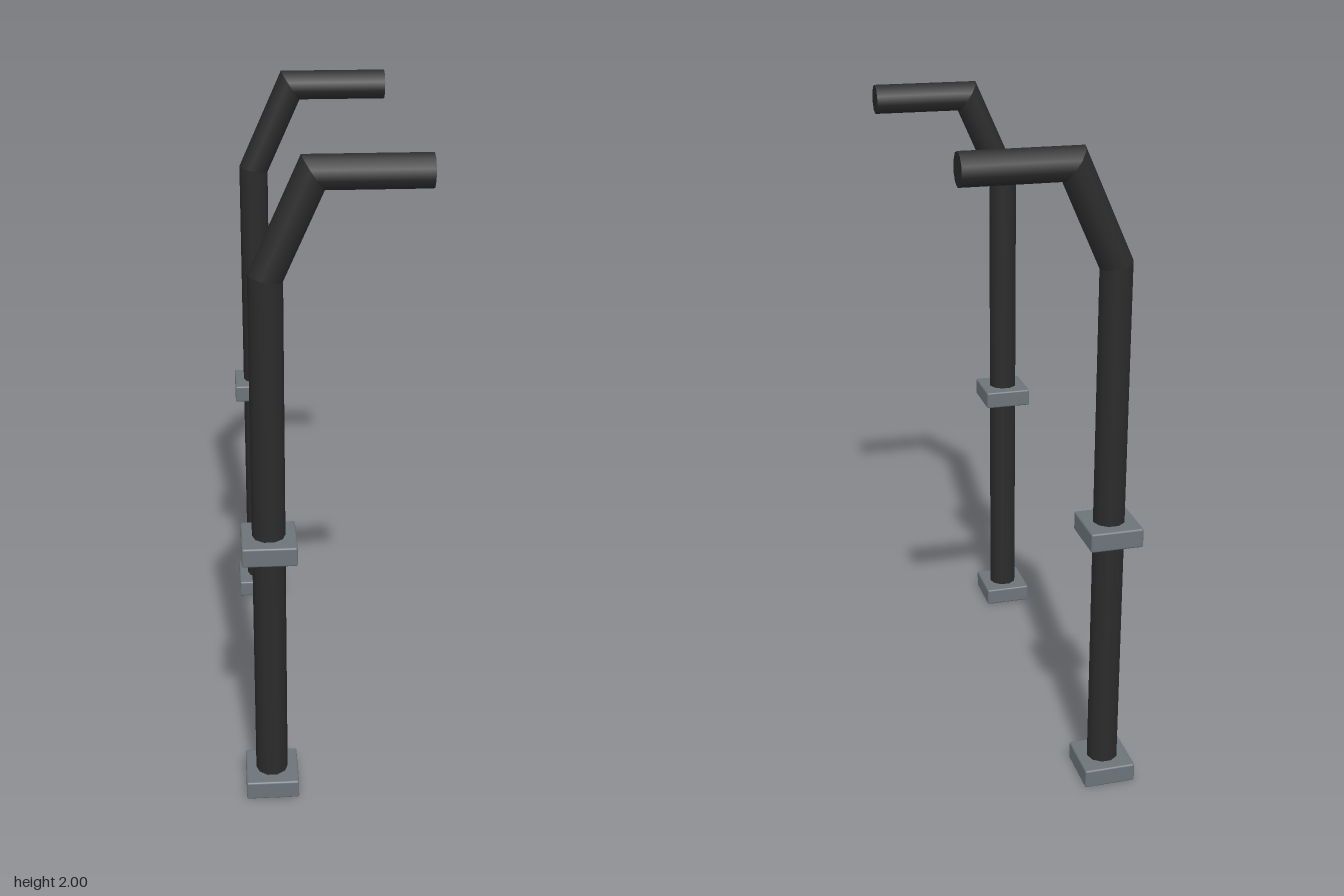
import * as THREE from 'three';
import { RoundedBoxGeometry } from 'three/addons/geometries/RoundedBoxGeometry.js';

const SIDES = 10, RADIUS = 0.049;

// Tube with mitred bends along a path in the xy plane
function mitredTube(points) {
  const pos = [], nor = [], idx = [];
  const dirs = points.slice(1).map((p, i) => p.clone().sub(points[i]).normalize());
  const sideOf = (d) => new THREE.Vector2(d.y, -d.x);
  // sideways vector of the cross-section at point i, lengthened at the bends
  const mitre = (i) => {
    const a = sideOf(dirs[Math.max(i - 1, 0)]);
    const b = sideOf(dirs[Math.min(i, dirs.length - 1)]);
    const m = a.clone().add(b).normalize();
    return m.divideScalar(m.dot(b));
  };
  const ringPoint = (i, t) => {
    const m = mitre(i), c = Math.cos(t) * RADIUS;
    return [points[i].x + m.x * c, points[i].y + m.y * c, Math.sin(t) * RADIUS];
  };
  const angle = (k) => (k / SIDES) * Math.PI * 2;

  // walls
  dirs.forEach((d, s) => {
    const n = sideOf(d), base = pos.length / 3;
    for (let k = 0; k <= SIDES; k++) {
      const t = angle(k);
      for (const i of [s, s + 1]) {
        pos.push(...ringPoint(i, t));
        nor.push(n.x * Math.cos(t), n.y * Math.cos(t), Math.sin(t));
      }
      if (k < SIDES) {
        const a = base + k * 2;
        idx.push(a, a + 1, a + 2, a + 1, a + 3, a + 2);
      }
    }
  });

  // end caps
  [[0, -1], [points.length - 1, 1]].forEach(([i, sign]) => {
    const d = dirs[Math.min(i, dirs.length - 1)], c = pos.length / 3;
    pos.push(points[i].x, points[i].y, 0);
    nor.push(d.x * sign, d.y * sign, 0);
    for (let k = 0; k <= SIDES; k++) {
      pos.push(...ringPoint(i, angle(k)));
      nor.push(d.x * sign, d.y * sign, 0);
      if (k < SIDES) idx.push(c, ...(sign > 0 ? [c + k + 2, c + k + 1] : [c + k + 1, c + k + 2]));
    }
  });

  const g = new THREE.BufferGeometry();
  g.setAttribute('position', new THREE.Float32BufferAttribute(pos, 3));
  g.setAttribute('normal', new THREE.Float32BufferAttribute(nor, 3));
  g.setIndex(idx);
  return g;
}

export function createModel() {
  const model = new THREE.Group();
  model.name = 'pairOfBentPoles';
  const black = new THREE.MeshStandardMaterial({ name: 'black', color: 0x2b2b2b });
  const grey = new THREE.MeshStandardMaterial({ name: 'grey', color: 0x6c7479 });

  const poleGeo = mitredTube([
    new THREE.Vector2(0, 0.01),
    new THREE.Vector2(0, 1.664),
    new THREE.Vector2(0.13, 1.952),
    new THREE.Vector2(0.451, 1.952),
  ]);
  const blockGeo = new RoundedBoxGeometry(0.162, 0.06, 0.172, 2, 0.006);

  const addPole = (name, x, z) => {
    const group = new THREE.Group();
    group.name = name;
    group.position.set(x, 0, z);
    group.rotation.y = -0.209;

    const pole = new THREE.Mesh(poleGeo, black);
    pole.name = 'bentPole';
    group.add(pole);

    // foot and middle collar
    for (const [part, y] of [['footBlock', 0.03], ['middleCollar', 0.849]]) {
      const block = new THREE.Mesh(blockGeo, grey);
      block.name = part;
      block.position.y = y;
      group.add(block);
    }
    model.add(group);
  };
  addPole('frontPole', -0.308, 0.578);
  addPole('backPole', -0.053, -0.623);
  return model;
}
